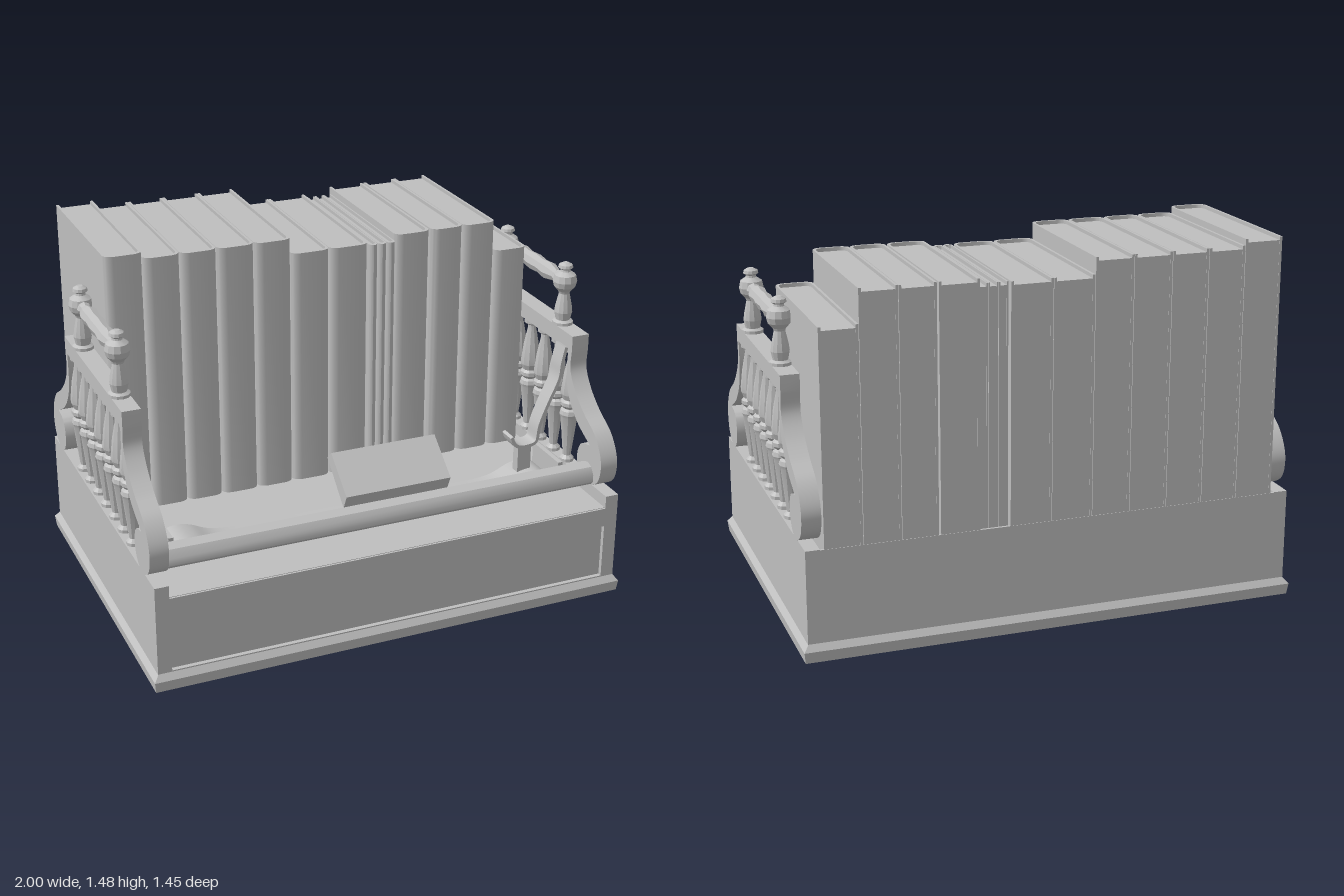
import * as THREE from 'three';
import { toCreasedNormals } from 'three/addons/utils/BufferGeometryUtils.js';

const V = (x, y) => new THREE.Vector2(x, y);

export function createModel() {
  const model = new THREE.Group();
  const grey = new THREE.MeshStandardMaterial({ color: 0xbfbfbf, side: THREE.DoubleSide });
  grey.name = 'plain grey';

  function add(geometry, name, parent = model) {
    const mesh = new THREE.Mesh(geometry, grey);
    mesh.name = name;
    parent.add(mesh);
    return mesh;
  }
  // box given by its min and max on each axis
  function box(name, x0, x1, y0, y1, z0, z1, parent = model) {
    const m = add(new THREE.BoxGeometry(x1 - x0, y1 - y0, z1 - z0), name, parent);
    m.position.set((x0 + x1) / 2, (y0 + y1) / 2, (z0 + z1) / 2);
    return m;
  }
  const extrude = (shape, depth) => toCreasedNormals(
    new THREE.ExtrudeGeometry(shape, { depth, bevelEnabled: false, curveSegments: 6 }), 0.6);
  // (z, y) outline extruded along x, centred on x = 0
  const extrudeX = (shape, width) =>
    extrude(shape, width).translate(0, 0, -width / 2).rotateY(-Math.PI / 2);
  // turned part with faceted sides
  const turned = (profile, sides) =>
    toCreasedNormals(new THREE.LatheGeometry(profile.map(p => V(...p)), sides), 0.3);
  // thin band following a smooth path
  function bandShape(points, thickness, n = 40) {
    const curve = new THREE.SplineCurve(points.map(p => V(...p)));
    const a = [], b = [];
    for (let i = 0; i <= n; i++) {
      const p = curve.getPoint(i / n), t = curve.getTangent(i / n);
      a.push(p);
      b.unshift(V(p.x - t.y * thickness, p.y + t.x * thickness));
    }
    return new THREE.Shape(a.concat(b));
  }

  // ---- hollow plinth ----
  const plinth = new THREE.Group();
  plinth.name = 'plinth';
  model.add(plinth);

  // bottom moulding: rectangular rings joined in order
  const rings = [[0.975, 0.70, 0], [0.995, 0.72, 0], [1, 0.727, 0.045], [0.98, 0.708, 0.07]];
  const pos = [], idx = [];
  rings.forEach(([x, z, y], r) => {
    pos.push(-x, y, z, x, y, z, x, y, -z, -x, y, -z);
    if (r) for (let i = 0; i < 4; i++) {
      const a = (r - 1) * 4 + i, b = (r - 1) * 4 + (i + 1) % 4;
      idx.push(a, b, b + 4, a, b + 4, a + 4);
    }
  });
  let moulding = new THREE.BufferGeometry();
  moulding.setAttribute('position', new THREE.Float32BufferAttribute(pos, 3));
  moulding.setIndex(idx);
  moulding = moulding.toNonIndexed();
  moulding.computeVertexNormals();
  add(moulding, 'bottomMoulding', plinth);

  // front wall with a sunk panel
  const rect = (T, x, y0, y1) => new T([V(-x, y0), V(x, y0), V(x, y1), V(-x, y1)]);
  const front = rect(THREE.Shape, 0.98, 0.002, 0.385);
  front.holes.push(rect(THREE.Path, 0.925, 0.075, 0.305));
  add(extrude(front, 0.02), 'frontWall', plinth).position.z = 0.688;
  box('frontPanel', -0.94, 0.94, 0.06, 0.32, 0.68, 0.69, plinth);
  box('backWall', -0.98, 0.98, 0.002, 0.437, -0.707, -0.697, plinth);
  box('deck', -0.97, 0.97, 0.375, 0.387, -0.7, 0.7, plinth);
  for (const s of [-1, 1]) {
    box('sideWall', s * 0.975 - 0.006, s * 0.975 + 0.006, 0.002, 0.43, -0.707, 0.708, plinth);
    box('sideRail', s * 0.953 - 0.028, s * 0.953 + 0.028, 0.37, 0.439, -0.707, 0.708, plinth);
  }

  // ---- row of books: left edge, right edge, top, back ----
  const books = new THREE.Group();
  books.name = 'books';
  model.add(books);
  const row = [
    [-0.91, -0.755, 1.475], [-0.755, -0.605, 1.45], [-0.605, -0.455, 1.45], [-0.455, -0.3, 1.45],
    [-0.3, -0.145, 1.45], [-0.145, 0.02, 1.385], [0.02, 0.187, 1.385],
    [0.187, 0.226, 1.38, -0.68], [0.226, 0.265, 1.38, -0.68], [0.265, 0.303, 1.38, -0.68],
    [0.305, 0.462, 1.405], [0.468, 0.612, 1.405], [0.612, 0.76, 1.405], [0.76, 0.91, 1.275],
  ];
  for (const [x0, x1, top, back = -0.706] of row) {
    const w = x1 - x0, t = Math.min(0.01, w * 0.15), c = Math.min(0.035, w * 0.4);
    const h = w / 2 - 0.001, g = h - t, f = w < 0.05 ? 0.01 : 0;
    // folded cover with a rounded spine
    const cover = new THREE.Shape();
    cover.moveTo(-h, -back);
    cover.lineTo(-h, c);
    cover.quadraticCurveTo(-h + 0.005, 0.012 - f, -h + c, 0.008 - f);
    cover.lineTo(h - c, 0.008 - f);
    cover.quadraticCurveTo(h - 0.005, 0.012 - f, h, c);
    cover.lineTo(h, -back);
    cover.lineTo(g, -back);
    cover.lineTo(g, c + t);
    cover.quadraticCurveTo(g - 0.005, 0.012 + t, g - c * 0.8, 0.008 + t);
    cover.lineTo(-g + c * 0.8, 0.008 + t);
    cover.quadraticCurveTo(-g + 0.005, 0.012 + t, -g, c + t);
    cover.lineTo(-g, -back);
    add(extrude(cover, top - 0.365).rotateX(-Math.PI / 2), 'bookCover', books)
      .position.set((x0 + x1) / 2, 0.365, 0);
    box('bookPages', x0 + t, x1 - t, 0.38, top - 0.014, back + 0.001, -0.022, books);
  }

  // ---- balustrade at each end ----
  const frame = new THREE.Shape();
  frame.moveTo(-0.4, 1.022);
  frame.lineTo(0.4, 1.022);
  const arm = [[0.4, 0.96], [0.398, 0.875], [0.37 + 0.075, 0.8], [0.52, 0.735], [0.61, 0.68],
    [0.662, 0.615], [0.678, 0.55], [0.655, 0.48], [0.58, 0.439], [0.515, 0.465], [0.49, 0.53],
    [0.515, 0.595], [0.585, 0.616], [0.475, 0.675], [0.4, 0.755], [0.372, 0.84], [0.37, 0.955]];
  frame.lineTo(...arm[0]);
  frame.splineThru(arm.slice(1, 13).map(p => V(...p)));
  frame.splineThru(arm.slice(13).map(p => V(...p)));
  frame.lineTo(-0.37, 0.955);
  frame.splineThru(arm.slice(12, 16).reverse().map(p => V(-p[0], p[1])));
  frame.splineThru(arm.slice(0, 12).reverse().map(p => V(-p[0], p[1])));
  const frameGeo = extrudeX(frame, 0.075);

  const balusterGeo = turned([[0.03, 0.437], [0.03, 0.452], [0.017, 0.466], [0.02, 0.49],
    [0.036, 0.64], [0.042, 0.655], [0.038, 0.672], [0.026, 0.68], [0.04, 0.695], [0.04, 0.71],
    [0.03, 0.72], [0.04, 0.745], [0.041, 0.765], [0.032, 0.84], [0.018, 0.91], [0.018, 0.925],
    [0.033, 0.935], [0.033, 0.957]], 10);
  const postGeo = turned([[0.043, 1.02], [0.043, 1.034], [0.03, 1.042], [0.037, 1.075],
    [0.034, 1.1], [0.022, 1.155], [0.026, 1.165], [0.044, 1.185], [0.05, 1.208], [0.044, 1.235],
    [0.022, 1.25], [0.02, 1.258], [0.031, 1.266], [0.028, 1.278], [0.012, 1.287], [0, 1.287]], 12);
  const rodGeo = turned([[0.02, -0.22], [0.028, -0.205], [0.028, -0.19], [0.022, -0.18],
    [0.028, -0.165], [0.038, -0.12], [0.032, -0.06], [0.037, 0], [0.032, 0.06], [0.038, 0.12],
    [0.028, 0.165], [0.022, 0.18], [0.028, 0.19], [0.028, 0.205], [0.02, 0.22]], 8)
    .rotateX(Math.PI / 2);
  for (const s of [-1, 1]) {
    const end = new THREE.Group();
    end.name = s > 0 ? 'leftBalustrade' : 'rightBalustrade';
    end.position.x = s * 0.947;
    model.add(end);
    add(frameGeo, 'scrollFrame', end);
    for (let i = -3; i <= 3; i++) add(balusterGeo, 'baluster', end).position.z = i * 0.1155;
    for (const z of [-0.25, 0.25]) add(postGeo, 'handlePost', end).position.z = z;
    add(rodGeo, 'handleRod', end).position.y = 1.206;
  }

  // ---- front rail between the scrolls ----
  const rail = new THREE.Shape([V(0.55, 0.455), V(0.61, 0.455), V(0.625, 0.47), V(0.625, 0.5),
    V(0.605, 0.53), V(0.575, 0.54), V(0.545, 0.53), V(0.535, 0.5), V(0.535, 0.47)]);
  add(extrudeX(rail, 1.83), 'frontRail');

  // ---- things lying on the deck ----
  // long wavy strip with upright ends
  const strip = bandShape([[-0.85, 0.4], [-0.78, 0.435], [-0.71, 0.43], [-0.6, 0.39], [-0.4, 0.382],
    [0, 0.382], [0.4, 0.382], [0.6, 0.39], [0.71, 0.43], [0.78, 0.435], [0.84, 0.4]], 0.01, 60);
  add(extrude(strip, 0.2), 'wavyStrip').position.z = 0.28;
  for (const x of [-0.845, 0.83]) box('stripEnd', x - 0.01, x + 0.01, 0.385, 0.515, 0.28, 0.495);

  // leaning slab
  const slab = new THREE.Shape([V(0.33, 0.45), V(0.17, 0.577), V(0.13, 0.54), V(0.3, 0.387)]);
  add(extrudeX(slab, 0.465), 'leaningSlab').position.x = 0.18;

  // curled ribbon leaning on the left end
  const curl = bandShape([[0.655, 0.605], [0.675, 0.565], [0.72, 0.55], [0.78, 0.565], [0.795, 0.64],
    [0.83, 0.73], [0.875, 0.83], [0.885, 0.9], [0.9, 0.97]], 0.014);
  add(extrude(curl, 0.075), 'curledRibbon').position.z = 0.31;
  box('ribbonFoot', 0.7, 0.76, 0.387, 0.555, 0.33, 0.37);

  return model;
}
